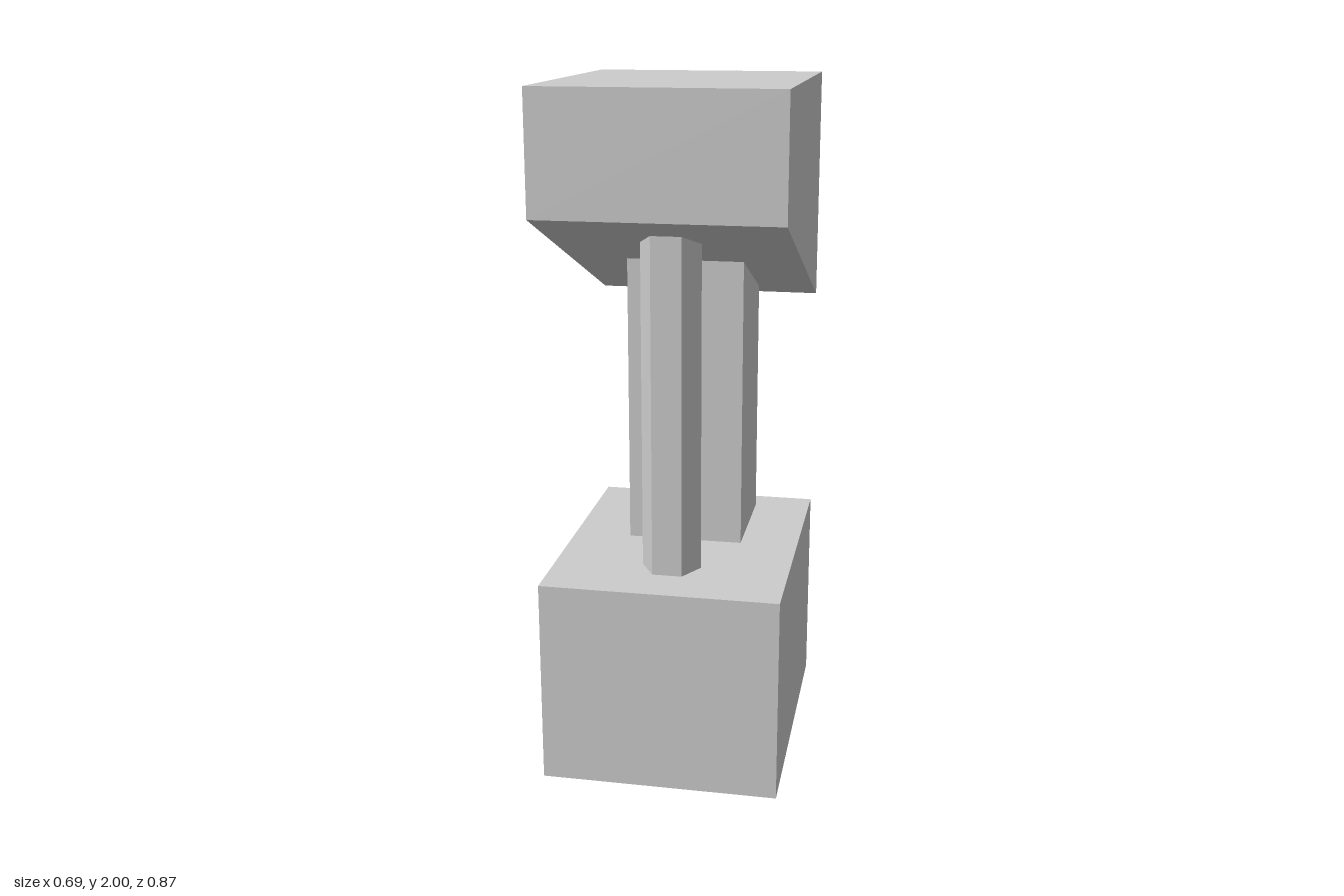
import * as THREE from 'three';

const W = 0.693, D = 0.866, BASE = 0.61;
const FRONT_Y = 1.655, BACK_Y = 1.31;

// Height of the head's sloping underside at depth z
const slopeY = (z) => (FRONT_Y + BACK_Y) / 2 + ((FRONT_Y - BACK_Y) * z) / D;

export function createModel() {
  const group = new THREE.Group();
  const material = new THREE.MeshStandardMaterial({ color: 0xcccccc, flatShading: true });

  const add = (name, geometry) => {
    const mesh = new THREE.Mesh(geometry, material);
    mesh.name = name;
    group.add(mesh);
  };

  // Stand a unit-high geometry on the base and cut its top to the slope
  const fitPost = (geometry, z) => {
    geometry.translate(0, 0, z);
    const p = geometry.attributes.position;
    for (let i = 0; i < p.count; i++) p.setY(i, p.getY(i) > 0 ? slopeY(p.getZ(i)) : BASE);
    geometry.computeVertexNormals();
    return geometry;
  };

  // Base block
  add('base', new THREE.BoxGeometry(W, BASE, D).translate(0, BASE / 2, 0));

  // Square rear column
  add('rearColumn', fitPost(new THREE.BoxGeometry(0.347, 1, 0.347), -0.1735));

  // Hexagonal front post, corners pointing sideways
  const hex = new THREE.CylinderGeometry(0.087, 0.087, 1, 6).rotateY(Math.PI / 6);
  add('frontPost', fitPost(hex, 0.217));

  // Wedge-shaped head: side profile (z, y) extruded across x
  const profile = new THREE.Shape([
    new THREE.Vector2(-D / 2, BACK_Y),
    new THREE.Vector2(D / 2, FRONT_Y),
    new THREE.Vector2(D / 2, 2),
    new THREE.Vector2(-D / 2, 2),
  ]);
  const head = new THREE.ExtrudeGeometry(profile, { depth: W, bevelEnabled: false });
  add('head', head.rotateY(-Math.PI / 2).translate(W / 2, 0, 0));

  return group;
}
